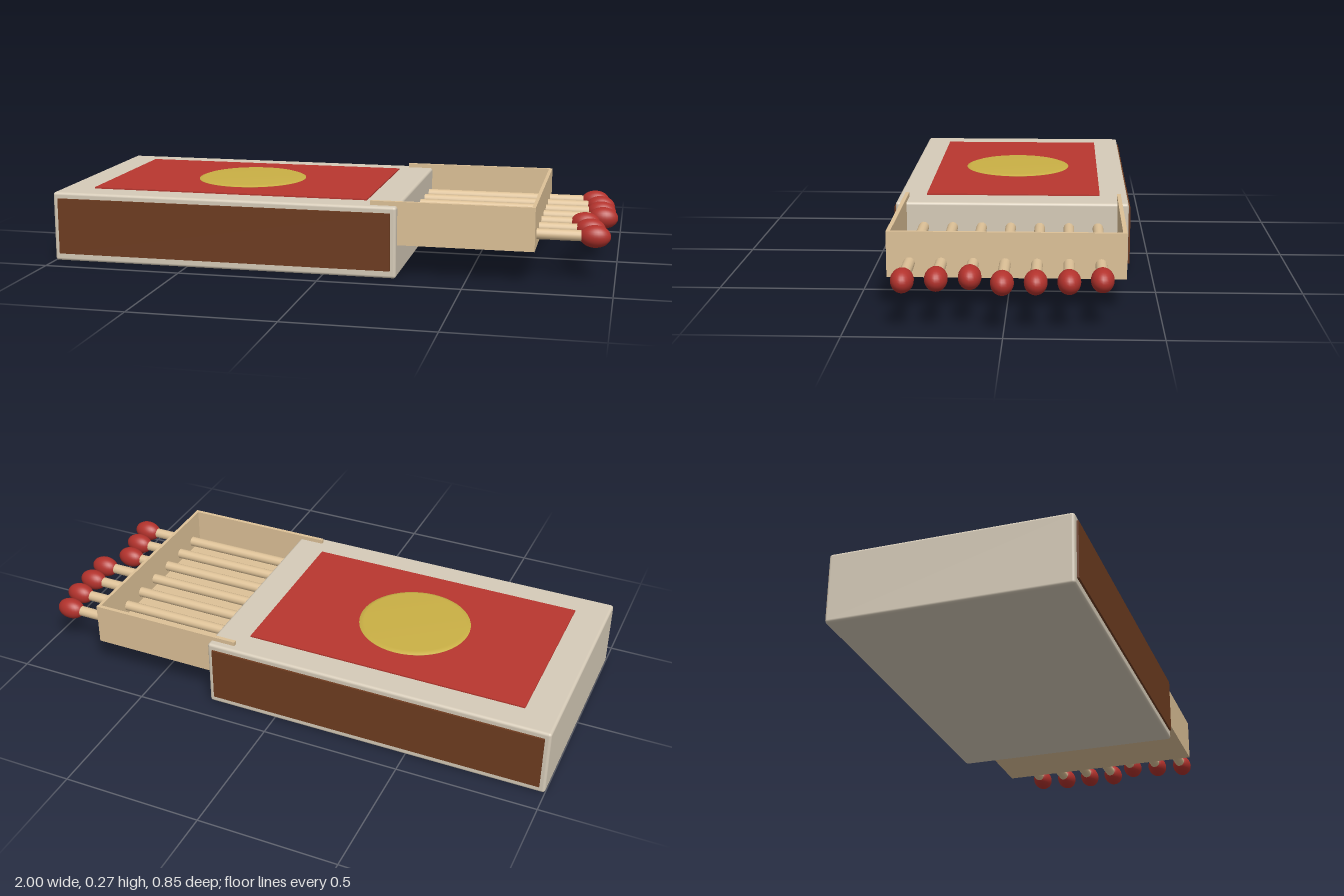
import * as THREE from 'three';
import { RoundedBoxGeometry } from 'three/addons/geometries/RoundedBoxGeometry.js';

const flat = (name, color) => Object.assign(new THREE.MeshStandardMaterial({ color }), { name });

export function createModel() {
  const group = new THREE.Group();
  group.name = 'matchbox';

  const card = flat('cream card', 0xd6cbb8);
  const red = flat('label red', 0xb8372f);
  const gold = flat('gold', 0xcab045);
  const brown = flat('striker brown', 0x6e3c20);
  const wood = flat('pale wood', 0xddc197);
  const headRed = flat('match head red', 0xb2322c);

  const add = (name, geometry, material, x, y, z, parent = group) => {
    const mesh = new THREE.Mesh(geometry, material);
    mesh.name = name;
    mesh.position.set(x, y, z);
    parent.add(mesh);
    return mesh;
  };
  // Box given by its minimum and maximum corners
  const block = (name, material, [x0, y0, z0], [x1, y1, z1], parent) =>
    add(name, new THREE.BoxGeometry(x1 - x0, y1 - y0, z1 - z0), material,
      (x0 + x1) / 2, (y0 + y1) / 2, (z0 + z1) / 2, parent);

  // Outer sleeve with softened edges
  add('sleeve', new RoundedBoxGeometry(1.26, 0.252, 0.832, 3, 0.01), card, -0.37, 0.126, 0);

  // Striking strips on both long sides
  for (const s of [-1, 1]) {
    add('striker', new THREE.BoxGeometry(1.22, 0.203, 0.008), brown, -0.37, 0.129, s * 0.419);
  }

  // Top label and round emblem with a bevelled rim
  block('label', red, [-0.88, 0.25, -0.315], [0.138, 0.257, 0.315]);
  const emblem = [[0, 0], [0.202, 0], [0.202, 0.002], [0.185, 0.008], [0, 0.008]]
    .map(([r, y]) => new THREE.Vector2(r, y));
  add('emblem', new THREE.LatheGeometry(emblem, 48), gold, -0.37, 0.256, 0);

  // Half-open tray
  const tray = new THREE.Group();
  tray.name = 'tray';
  group.add(tray);
  block('trayFloor', wood, [0.165, 0.114, -0.39], [0.732, 0.128, 0.39], tray);
  block('trayEnd', wood, [0.72, 0.114, -0.39], [0.732, 0.267, 0.39], tray);
  for (const s of [-1, 1]) {
    add('traySide', new THREE.BoxGeometry(0.567, 0.153, 0.014), wood, 0.4485, 0.1905, s * 0.383, tray);
  }

  // Matches, each pushed out by a slightly different amount
  const headX = [0.905, 0.928, 0.935, 0.945, 0.886, 0.909, 0.929];
  headX.forEach((x, i) => {
    const match = new THREE.Group();
    match.name = 'match';
    match.position.set(x, 0.162, -0.307 + i * 0.1037);
    group.add(match);
    const length = x - 0.15;
    add('matchStick', new THREE.CylinderGeometry(0.019, 0.019, length, 16), wood, -length / 2, 0, 0, match)
      .rotation.z = Math.PI / 2;
    add('matchHead', new THREE.SphereGeometry(1, 24, 16), headRed, 0, 0, 0, match)
      .scale.set(0.053, 0.039, 0.037);
  });

  return group;
}
